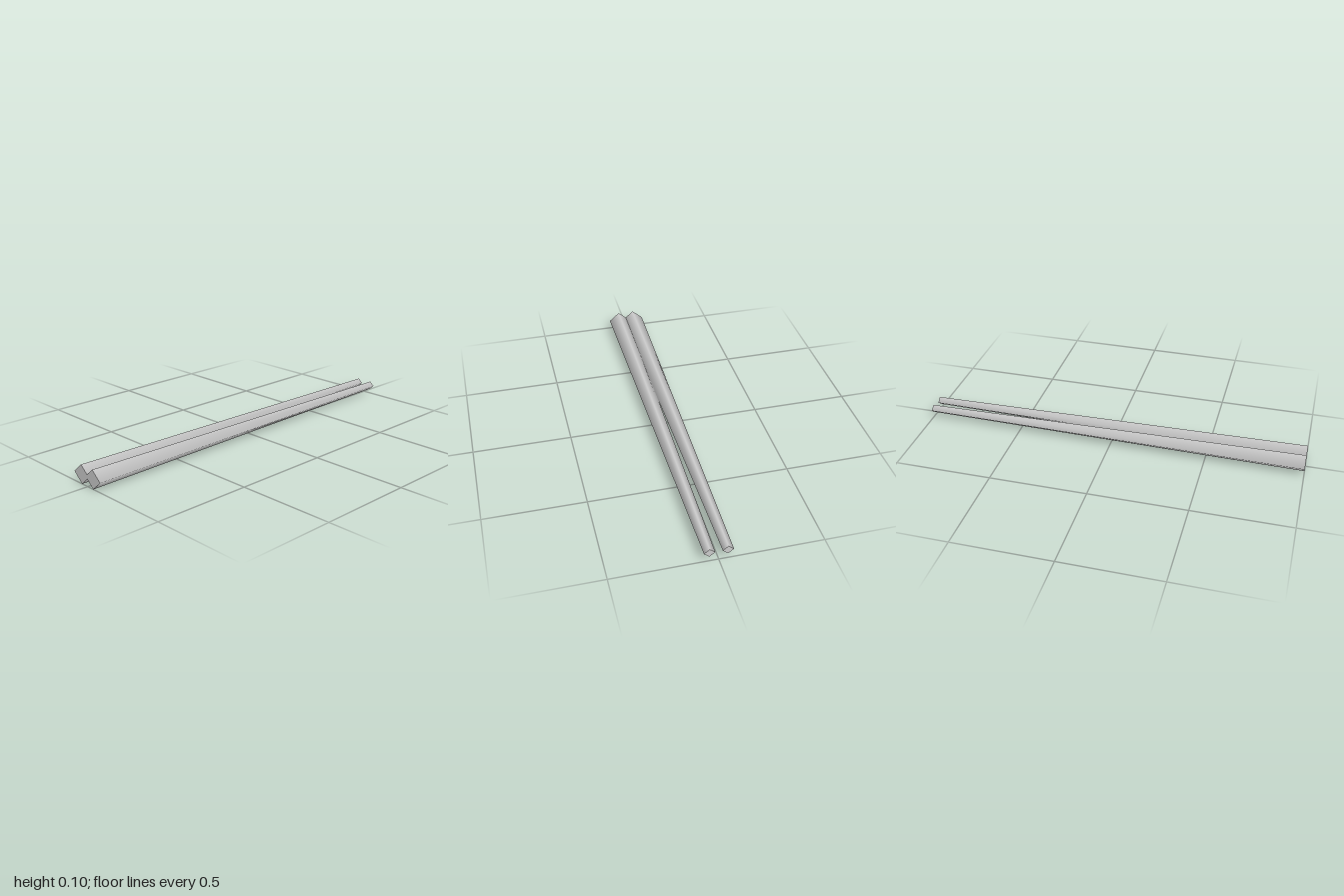
import * as THREE from 'three';

const LENGTH = 2;
const HALF_WIDTH = 0.056;  // at the thick front end
const HALF_HEIGHT = 0.048;
const TAPER = 0.46;        // thin end relative to thick end
const SPACING = 0.043;     // axis of each stick from the middle

export function createModel() {
  const group = new THREE.Group();
  group.name = 'chopsticks';
  const material = new THREE.MeshStandardMaterial({ color: 0xcccccc });

  // Four-sided tapered stick with smooth sides, flat ends, thick end forward
  const geometry = new THREE.CylinderGeometry(1, TAPER, LENGTH, 4);
  geometry.rotateX(Math.PI / 2);
  geometry.scale(HALF_WIDTH, HALF_HEIGHT, 1);

  // The pair lies side by side, overlapping slightly at the thick ends
  for (const [name, side] of [['leftStick', 1], ['rightStick', -1]]) {
    const stick = new THREE.Mesh(geometry, material);
    stick.name = name;
    stick.position.set(side * SPACING, HALF_HEIGHT, 0);
    group.add(stick);
  }
  return group;
}
